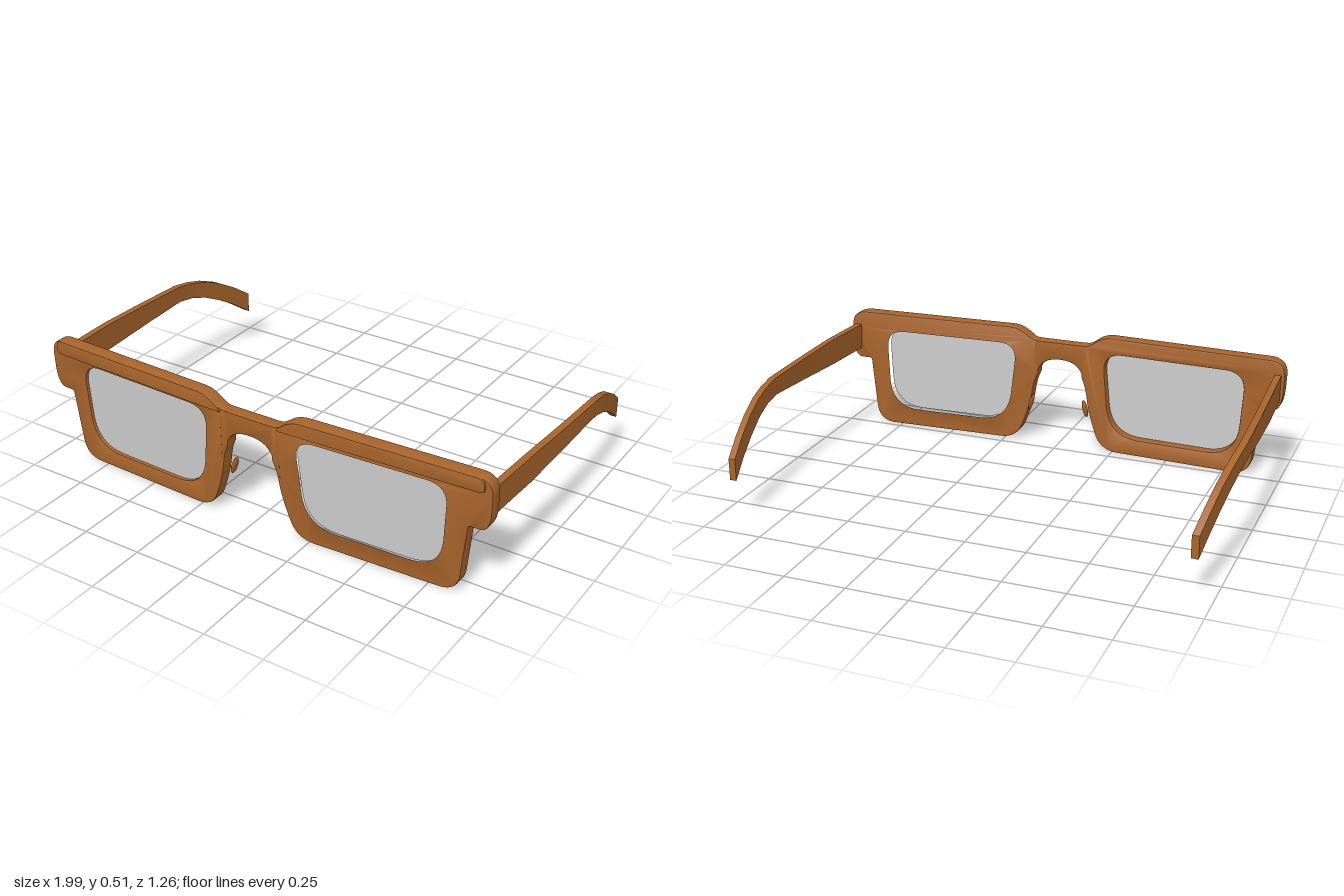
import * as THREE from 'three';
import { toCreasedNormals } from 'three/addons/utils/BufferGeometryUtils.js';

const DEPTH = 0.055;

// Closed outline from [x, y, cornerRadius] points; s mirrors it in x
function outline(points, s = 1, Type = THREE.Shape) {
  const path = new Type();
  const n = points.length;
  points.forEach(([x, y, r = 0], i) => {
    const p = new THREE.Vector2(x * s, y);
    const toward = (q) => {
      const d = new THREE.Vector2(q[0] * s, q[1]).sub(p);
      return p.clone().add(d.setLength(Math.min(r, d.length() * 0.5)));
    };
    const a = toward(points[(i + n - 1) % n]);
    const b = toward(points[(i + 1) % n]);
    if (i === 0) path.moveTo(a.x, a.y);
    else path.lineTo(a.x, a.y);
    if (r > 0) path.quadraticCurveTo(p.x, p.y, b.x, b.y);
  });
  path.closePath();
  return path;
}

// Lean the front forward at the top and sweep its sides back
function wrap(geo, zOffset, sweep) {
  const p = geo.attributes.position;
  for (let i = 0; i < p.count; i++) {
    const back = sweep * (Math.abs(p.getX(i)) - 0.12) + 0.03 * (0.5 - p.getY(i));
    p.setZ(i, p.getZ(i) + 0.625 + zOffset - back);
  }
  geo.computeVertexNormals();
  return geo;
}

function slab(shape, depth, zOffset, sweep) {
  const bevel = 0.005;
  const geo = new THREE.ExtrudeGeometry(shape, {
    depth: depth - 2 * bevel, bevelEnabled: true, bevelSize: bevel, bevelOffset: -bevel,
    bevelThickness: bevel, bevelSegments: 2, curveSegments: 10,
  });
  geo.translate(0, 0, bevel - depth);
  return toCreasedNormals(wrap(geo, zOffset, sweep), 0.6);
}

const RIM = [
  [0.10, 0.466], [0.13, 0.468, 0.03], [0.195, 0.515, 0.04], [0.99, 0.515, 0.07],
  [0.985, 0.30, 0.09], [0.90, 0.30, 0.01], [0.867, 0, 0.08], [0.195, 0, 0.08],
  [0.135, 0.17, 0.08], [0.12, 0.27, 0.04], [0.10, 0.32],
];
const OPENING = [
  [0.195, 0.445, 0.09], [0.825, 0.445, 0.09], [0.805, 0.072, 0.14], [0.235, 0.072, 0.14],
];
const BRIDGE = [
  [-0.135, 0.466], [0.135, 0.466], [0.135, 0.25], [0.12, 0.265], [0.085, 0.39, 0.085],
  [-0.085, 0.39, 0.085], [-0.12, 0.265], [-0.135, 0.25],
];
const BROW = [
  [0.13, 0.455], [0.13, 0.468, 0.02], [0.195, 0.515, 0.04], [0.96, 0.515, 0.04], [0.96, 0.455, 0.02],
];

// Temple stations from hinge to tip: z, top y, bottom y, centre x
const TEMPLE = [
  [0.55, 0.455, 0.345, 0.958], [0.28, 0.455, 0.345, 0.971], [0.03, 0.445, 0.355, 0.979],
  [-0.2, 0.435, 0.364, 0.983], [-0.28, 0.423, 0.352, 0.978], [-0.36, 0.402, 0.325, 0.97],
  [-0.45, 0.365, 0.28, 0.957], [-0.54, 0.313, 0.225, 0.943], [-0.63, 0.25, 0.16, 0.927],
];

function templeGeometry(s) {
  const n = TEMPLE.length - 1;
  const geo = new THREE.BoxGeometry(1, 1, 1, 1, 1, n);
  const p = geo.attributes.position;
  for (let i = 0; i < p.count; i++) {
    const [z, top, bottom, x] = TEMPLE[Math.round((0.5 - p.getZ(i)) * n)];
    p.setXYZ(i, s * x + p.getX(i) * 0.028, p.getY(i) > 0 ? top : bottom, z);
  }
  geo.computeVertexNormals();
  return geo;
}

export function createModel() {
  const group = new THREE.Group();
  const frame = new THREE.MeshStandardMaterial({ color: 0xa8642c });
  frame.name = 'brown frame';
  const glass = new THREE.MeshStandardMaterial({ color: 0xcacaca, side: THREE.DoubleSide });
  glass.name = 'grey glass';

  const add = (name, geo, mat = frame) => {
    const mesh = new THREE.Mesh(geo, mat);
    mesh.name = name;
    group.add(mesh);
    return mesh;
  };

  add('bridge', slab(outline(BRIDGE), DEPTH, 0, 0));

  for (const [side, s] of [['left', 1], ['right', -1]]) {
    // Rim with its lens opening, and the raised brow above it
    const rim = outline(RIM, s);
    rim.holes.push(outline(OPENING, s, THREE.Path));
    add(side + 'Rim', slab(rim, DEPTH, 0, 0.043));
    add(side + 'Brow', slab(outline(BROW, s), 0.015, 0.007, 0.043));

    // Lens set just inside the front face
    add(side + 'Lens', wrap(new THREE.ShapeGeometry(outline(OPENING, s), 10), -0.014, 0.043), glass);

    add(side + 'Temple', templeGeometry(s));

    // Nose pad
    const pad = add(side + 'NosePad', new THREE.SphereGeometry(1, 20, 14));
    pad.scale.set(0.009, 0.038, 0.02);
    pad.position.set(s * 0.125, 0.187, 0.55);
    pad.rotation.z = s * 0.25;
  }
  return group;
}
